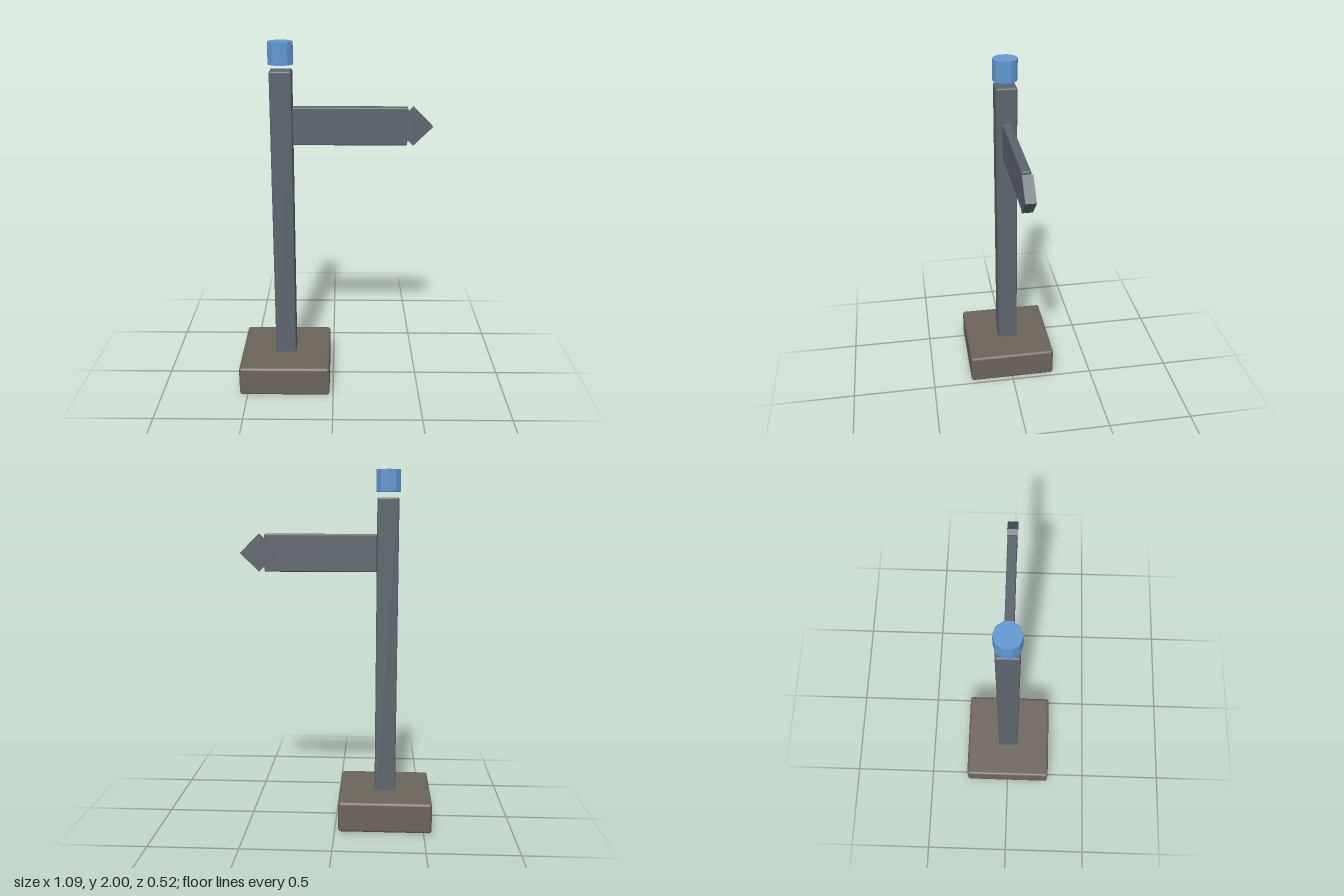
import * as THREE from 'three';
import { RoundedBoxGeometry } from 'three/addons/geometries/RoundedBoxGeometry.js';

const POST_X = -0.283;

function material(name, color) {
  const m = new THREE.MeshStandardMaterial({ color });
  m.name = name;
  return m;
}

export function createModel() {
  const model = new THREE.Group();
  model.name = 'signpost';
  const stone = material('stone', 0x6b645b);
  const steel = material('steel', 0x5d656d);
  const blue = material('blue', 0x6199d3);
  blue.flatShading = true;

  const add = (name, geometry, mat, x, y) => {
    const mesh = new THREE.Mesh(geometry, mat);
    mesh.name = name;
    mesh.position.set(x, y, 0);
    model.add(mesh);
    return mesh;
  };

  // Square plinth and post
  add('base', new RoundedBoxGeometry(0.525, 0.175, 0.525, 2, 0.016), stone, POST_X, 0.0925 - 0.005);
  add('post', new RoundedBoxGeometry(0.12, 1.69, 0.12, 2, 0.01), steel, POST_X, 1.005);

  // Ten-sided lamp hovering just above the post
  add('lamp', new THREE.CylinderGeometry(0.07, 0.07, 0.12, 10), blue, POST_X, 1.94);

  // Sign board with a pointed tip made from a turned square
  add('signBoard', new RoundedBoxGeometry(0.628, 0.21, 0.05, 2, 0.008), steel, 0.091, 1.546);
  const tip = add('arrowTip', new THREE.BoxGeometry(0.147, 0.147, 0.056), steel, 0.437, 1.546);
  tip.rotation.z = Math.PI / 4;

  return model;
}
